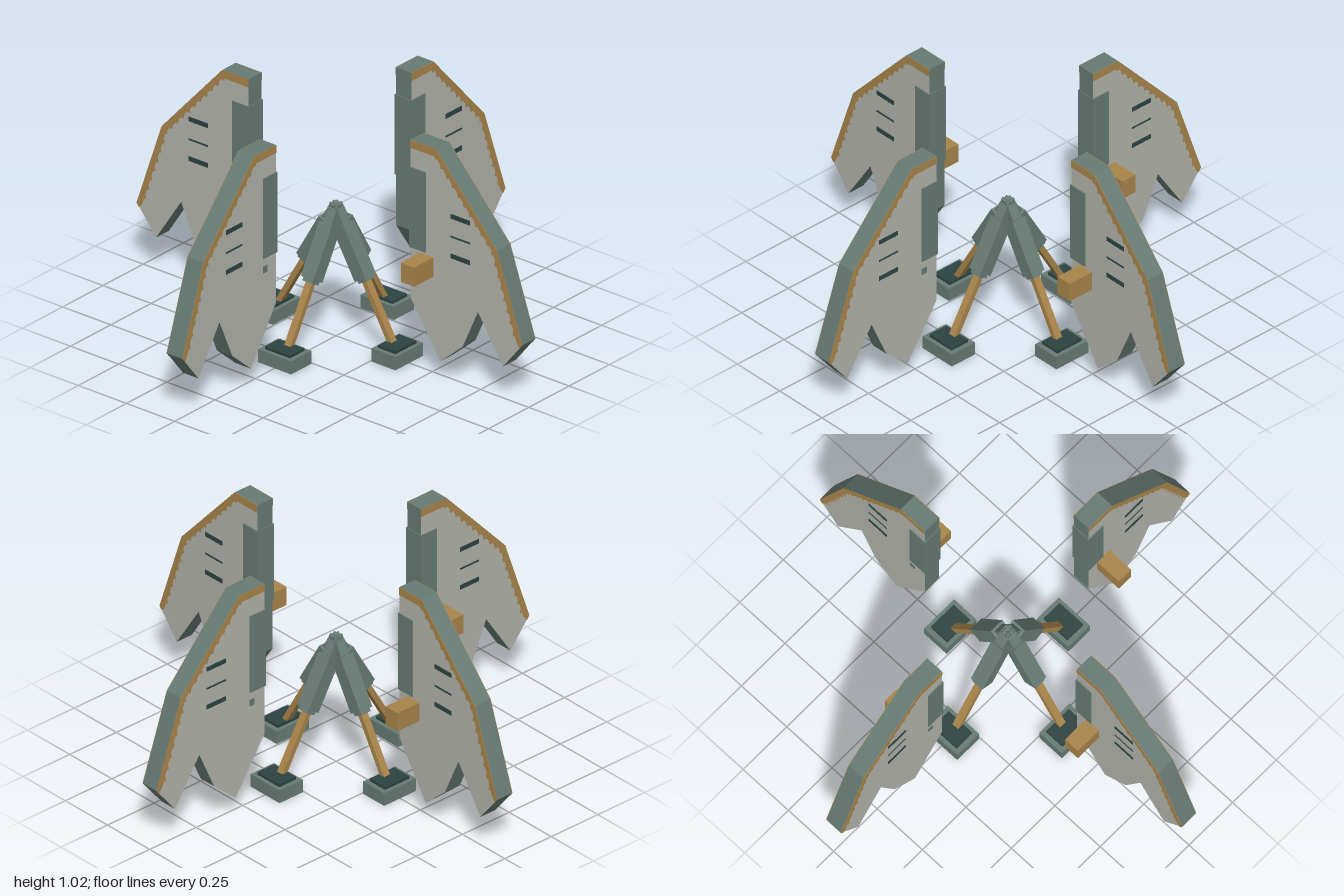
import * as THREE from 'three';

const material = (name, color) => {
  const m = new THREE.MeshStandardMaterial({ color });
  m.name = name;
  return m;
};

export function createModel() {
  const hull = material('pale hull', 0xb0b2a9);
  const steel = material('green steel', 0x667a73);
  const gold = material('ochre', 0xa8844a);
  const dark = material('dark teal', 0x2c4341);

  const add = (parent, name, geometry, mat, x = 0, y = 0, z = 0) => {
    const mesh = new THREE.Mesh(geometry, mat);
    mesh.name = name;
    mesh.position.set(x, y, z);
    parent.add(mesh);
    return mesh;
  };
  const box = (parent, name, mat, w, h, d, x, y, z) =>
    add(parent, name, new THREE.BoxGeometry(w, h, d), mat, x, y, z);
  const shapeOf = (pts) => new THREE.Shape(pts.map(([x, y]) => new THREE.Vector2(x, y)));

  // Wing outline, starting at the inner top corner
  const outline = [
    [0.42, 1.02], [0.555, 1.02], [0.87, 0.67], [1.0, 0.29], [0.9, 0.165],
    [0.77, 0.365], [0.69, 0.185], [0.575, 0.085], [0.42, 0.32],
  ];
  const wingGeometry = new THREE.ExtrudeGeometry(shapeOf(outline), { depth: 0.08, bevelEnabled: false });
  wingGeometry.translate(0, 0, -0.04);

  // Edge trim with a straight top and a stepped inner border
  const trimPoints = outline.slice(0, 4);
  trimPoints.push([0.987, 0.272]);
  const steps = (a, b, n) => {
    const len = Math.hypot(b[0] - a[0], b[1] - a[1]);
    const t = [(b[0] - a[0]) / len, (b[1] - a[1]) / len];
    const at = (f, off) => [a[0] + (b[0] - a[0]) * f - t[1] * off, a[1] + (b[1] - a[1]) * f + t[0] * off];
    for (let i = 0; i < n; i++) {
      trimPoints.push(at((i + 0.1) / n, 0.026), at((i + 0.55) / n, 0.026), at((i + 0.7) / n, 0.037));
    }
  };
  steps([0.997, 0.3], [0.87, 0.67], 8);
  steps([0.865, 0.675], [0.565, 1.009], 10);
  trimPoints.push([0.545, 0.985], [0.42, 0.985]);
  const trimGeometry = new THREE.ExtrudeGeometry(shapeOf(trimPoints), { depth: 0.002, bevelEnabled: false });

  const makeWing = () => {
    const wing = new THREE.Group();
    wing.name = 'wing';
    add(wing, 'wingPanel', wingGeometry, [hull, steel]);
    box(wing, 'hingeBlock', steel, 0.085, 0.355, 0.09, 0.4585, 0.7225, 0);
    box(wing, 'sideThruster', gold, 0.07, 0.085, 0.12, 0.505, 0.4925, 0.1);
    box(wing, 'rearFitting', steel, 0.026, 0.03, 0.003, 0.488, 0.495, -0.041);
    for (const side of [-1, 1]) {
      add(wing, 'edgeTrim', trimGeometry, gold, 0, 0, side > 0 ? 0.04 : -0.042);
      for (const [y, h] of [[0.747, 0.02], [0.657, 0.007], [0.571, 0.02]]) {
        box(wing, 'ventSlot', dark, 0.1, h, 0.003, 0.68, y, side * 0.041);
      }
    }
    return wing;
  };

  const makeLeg = () => {
    const leg = new THREE.Group();
    leg.name = 'leg';
    // Telescoping strut, built downwards from the apex and tilted outwards
    const strut = new THREE.Group();
    strut.name = 'strut';
    strut.position.y = 0.57;
    strut.rotation.z = Math.PI / 6;
    const section = (name, mat, w, d, from, to) =>
      box(strut, name, mat, w, to - from, d, 0, -(from + to) / 2, 0);
    section('strutNeck', steel, 0.044, 0.044, -0.015, 0.075);
    section('strutSleeve', steel, 0.064, 0.066, 0.07, 0.303);
    section('strutCollar', steel, 0.046, 0.05, 0.3, 0.318);
    section('pistonRod', gold, 0.024, 0.032, 0.31, 0.6);
    leg.add(strut);
    box(leg, 'footPad', steel, 0.125, 0.058, 0.172, 0.318, 0.029, 0);
    box(leg, 'footPlate', dark, 0.09, 0.012, 0.13, 0.318, 0.064, 0);
    return leg;
  };

  // Four identical quarters around the vertical axis
  const model = new THREE.Group();
  model.name = 'fourWingedLander';
  for (let k = 0; k < 4; k++) {
    const quarter = new THREE.Group();
    quarter.name = 'quarter';
    quarter.rotation.y = (k * Math.PI) / 2;
    quarter.add(makeWing(), makeLeg());
    model.add(quarter);
  }
  return model;
}
